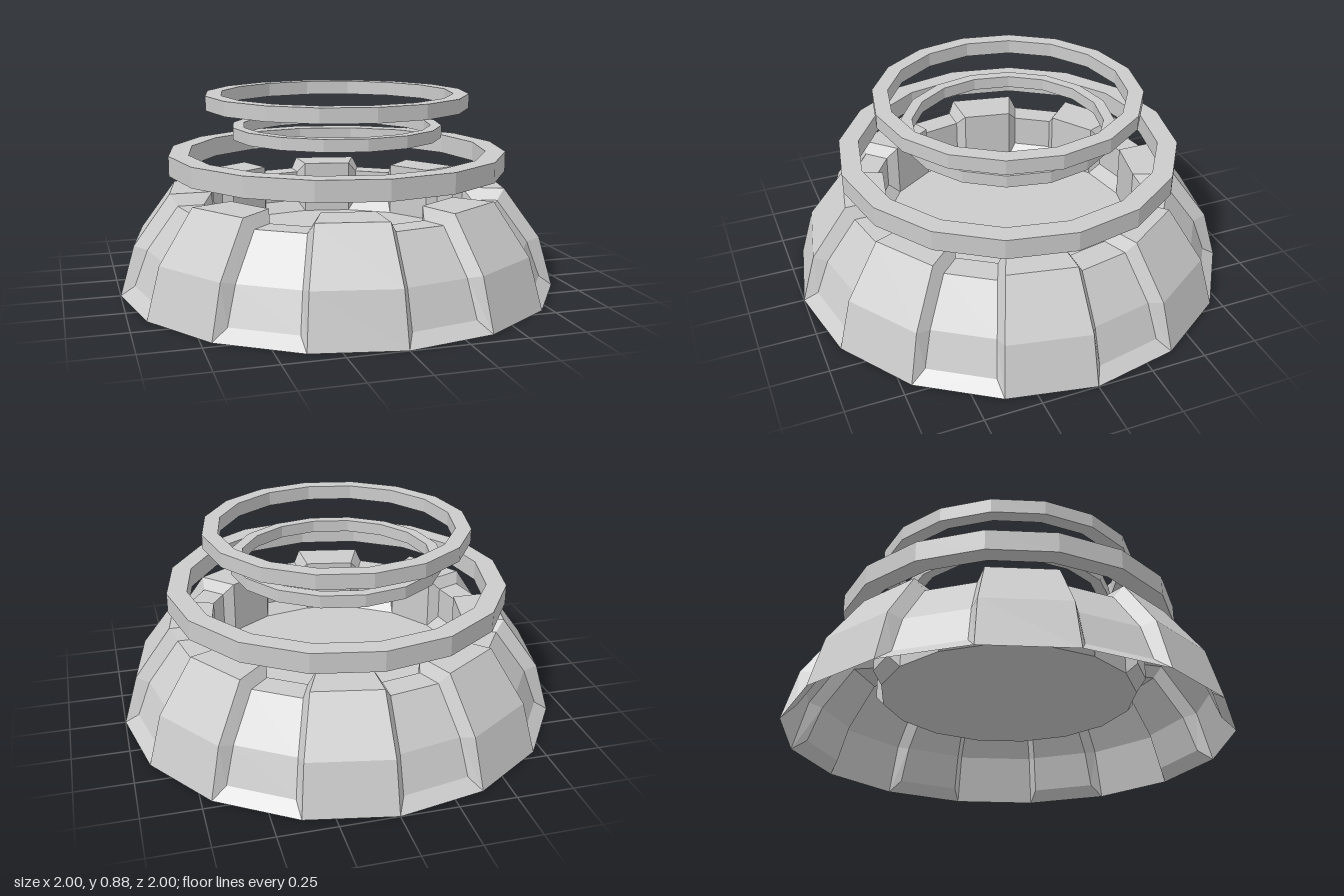
import * as THREE from 'three';

const SIDES = 16;
const STEP = (Math.PI * 2) / SIDES;
const material = new THREE.MeshStandardMaterial({ color: 0xcccccc, flatShading: true, side: THREE.DoubleSide });

// Profiles as [radius, height], from the outer rim over the top to the inner floor
const RAISED = [[1, 0], [0.935, 0.225], [0.77, 0.45], [0.58, 0.45], [0.58, 0.2]];
const RECESSED = [[0.945, 0.05], [0.885, 0.21], [0.745, 0.4], [0.63, 0.4], [0.63, 0.25]];
const SIDE_INSET = 0.033;

// One profile placed at both edges of a panel, drawn in sideways by inset
function panelEdges(profile, index, inset) {
  const a = index * STEP, b = a + STEP;
  return profile.map(([r, y]) => {
    const start = new THREE.Vector3(r * Math.cos(a), y, r * Math.sin(a));
    const end = new THREE.Vector3(r * Math.cos(b), y, r * Math.sin(b));
    const shift = end.clone().sub(start).setLength(inset);
    return [start.add(shift), end.sub(shift)];
  });
}

function quadGeometry(quads) {
  const points = quads.flatMap(([a, b, c, d]) => [a, b, c, a, c, d]);
  const geometry = new THREE.BufferGeometry().setFromPoints(points);
  geometry.computeVertexNormals();
  return geometry;
}

function strip(p) {
  return p.slice(1).map((next, i) => [p[i][0], next[0], next[1], p[i][1]]);
}

function raisedPanel(index) {
  return quadGeometry(strip(panelEdges(RAISED, index, 0)));
}

// Sunken face joined to the panel outline by sloping walls
function recessedPanel(index) {
  const p = panelEdges(RAISED, index, 0);
  const q = panelEdges(RECESSED, index, SIDE_INSET);
  const quads = strip(q);
  const last = p.length - 1;
  for (let i = 0; i < last; i++) {
    quads.push([p[i][0], p[i + 1][0], q[i + 1][0], q[i][0]]);
    quads.push([p[i + 1][1], p[i][1], q[i][1], q[i + 1][1]]);
  }
  quads.push([p[0][1], p[0][0], q[0][0], q[0][1]]);
  quads.push([p[last][0], p[last][1], q[last][1], q[last][0]]);
  return quadGeometry(quads);
}

function ring(name, outer, inner, bottom, top) {
  const profile = [[inner, bottom], [outer, bottom], [outer, top], [inner, top], [inner, bottom]]
    .map(([r, y]) => new THREE.Vector2(r, y));
  const mesh = new THREE.Mesh(new THREE.LatheGeometry(profile, SIDES), material);
  mesh.name = name;
  return mesh;
}

export function createModel() {
  const model = new THREE.Group();
  model.name = 'ringedBase';

  // Domed shell of alternating raised and recessed panels
  const shell = new THREE.Group();
  shell.name = 'shell';
  for (let i = 0; i < SIDES; i++) {
    const recessed = i % 2 === 1;
    const mesh = new THREE.Mesh(recessed ? recessedPanel(i) : raisedPanel(i), material);
    mesh.name = recessed ? 'recessedPanel' : 'raisedPanel';
    shell.add(mesh);
  }
  model.add(shell);

  // Floor of the central well
  const floor = new THREE.Mesh(new THREE.CircleGeometry(0.58, SIDES).rotateX(-Math.PI / 2), material);
  floor.name = 'wellFloor';
  floor.position.y = 0.2;
  model.add(floor);

  // Floating rings
  model.add(
    ring('lowerRing', 0.77, 0.68, 0.53, 0.62),
    ring('middleRing', 0.48, 0.43, 0.68, 0.735),
    ring('upperRing', 0.6, 0.53, 0.815, 0.88),
  );
  return model;
}
